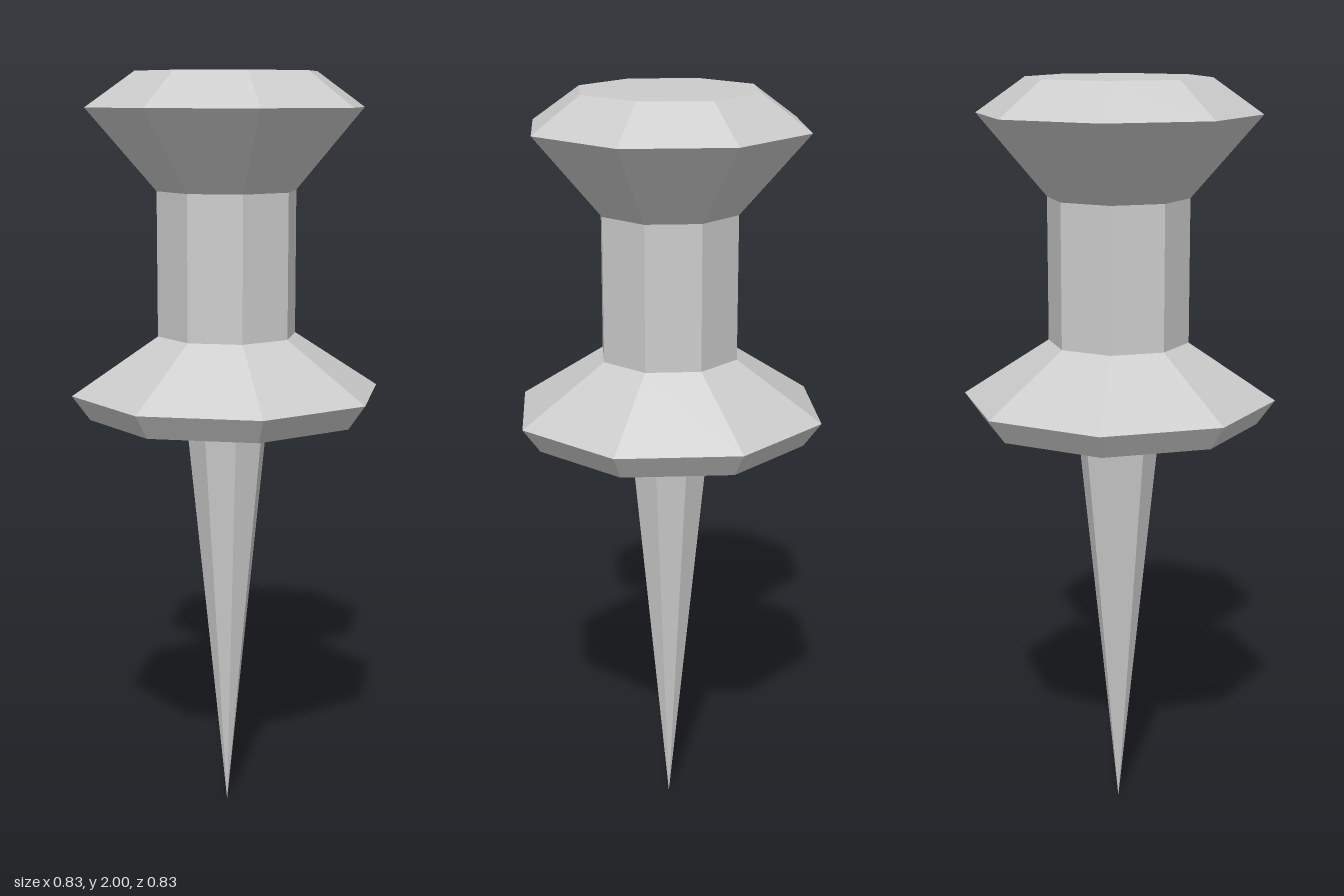
import * as THREE from 'three';

const SIDES = 8;

export function createModel() {
  const group = new THREE.Group();
  const material = new THREE.MeshStandardMaterial({ color: 0xcccccc, flatShading: true });

  const add = (name, geometry, y = 0) => {
    const mesh = new THREE.Mesh(geometry, material);
    mesh.name = name;
    mesh.position.y = y;
    group.add(mesh);
  };

  // Handle: flange, grip and flared head in one closed profile (radius, height)
  const profile = [
    [0, 1.11], [0.367, 1.11], // flat underside
    [0.414, 1.175], [0.185, 1.325], // flange rim and slope
    [0.185, 1.7], // grip
    [0.367, 1.91], [0.238, 2], [0, 2], // head and flat top
  ].map(([r, y]) => new THREE.Vector2(r, y));
  add('handle', new THREE.LatheGeometry(profile, SIDES));

  // Spike: tapers to a point at the ground
  const spikeLength = 1.11;
  add('spike', new THREE.CylinderGeometry(0.112, 0, spikeLength, SIDES), spikeLength / 2);

  return group;
}
